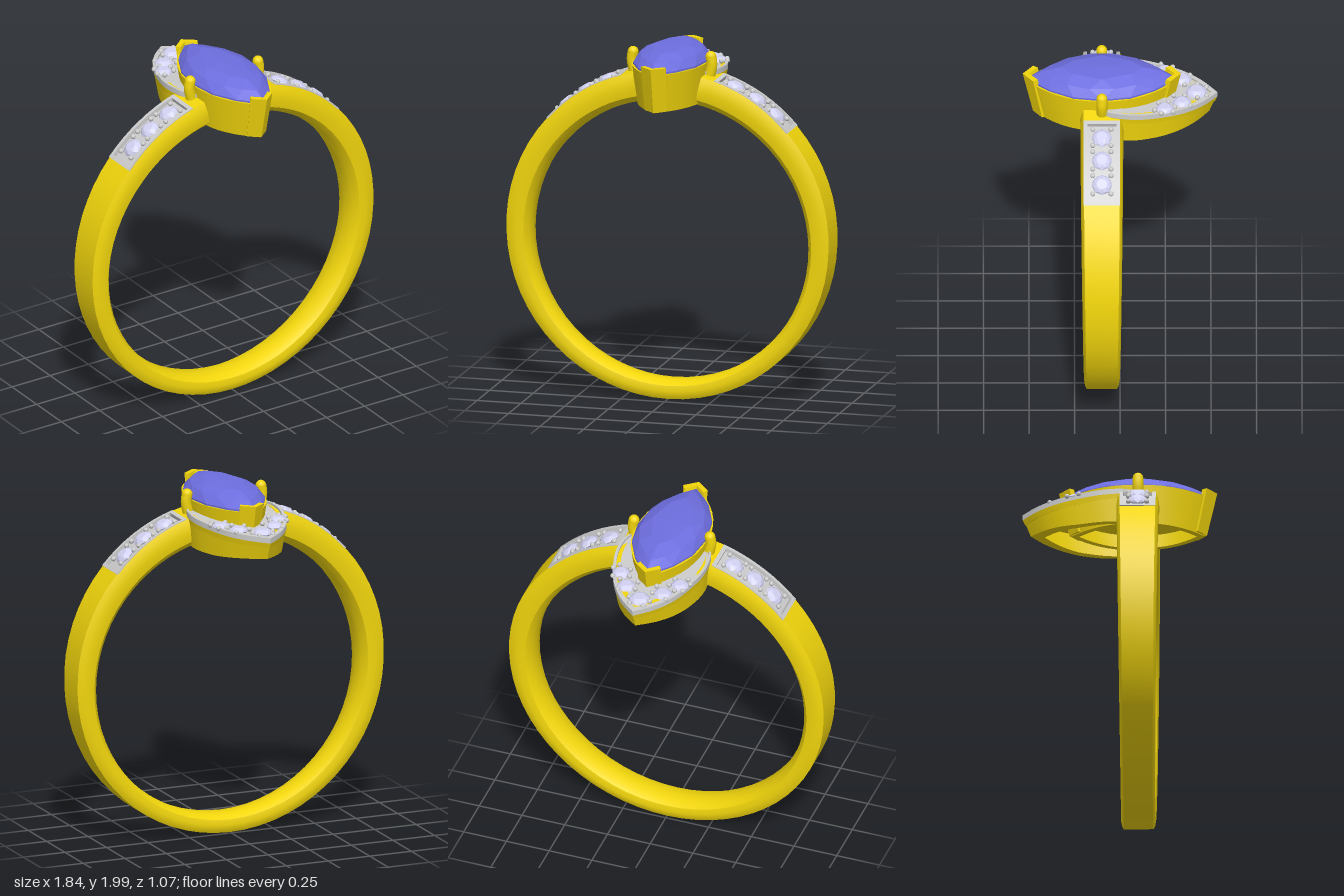
import * as THREE from 'three';
import { toCreasedNormals } from 'three/addons/utils/BufferGeometryUtils.js';
import { ConvexGeometry } from 'three/addons/geometries/ConvexGeometry.js';

const mat = (color) => new THREE.MeshStandardMaterial({ color, side: THREE.DoubleSide });
const gold = mat(0xf2d60c), grey = mat(0xcccccc), blue = mat(0x6e6ee0), clear = mat(0xd2d2f2);
const CZ = 0.1, CY = 0.93;            // centre of band and head
const PAVE = [0.29, 0.83];            // stretch of the shoulder channel (angle from the top)
const lerp = THREE.MathUtils.lerp;
const V2 = (x, y) => new THREE.Vector2(x, y);
const V3 = (x, y, z) => new THREE.Vector3(x, y, z);

function add(parent, name, geo, material) {
  const m = new THREE.Mesh(geo, material);
  m.name = name;
  parent.add(m);
  return m;
}

// Skin over closed cross-sections, with capped ends
function loft(sections, crease = 0.6) {
  const n = sections[0].length, last = (sections.length - 1) * n, index = [];
  for (let i = 0; i < sections.length - 1; i++) {
    for (let j = 0; j < n; j++) {
      const a = i * n + j, b = i * n + (j + 1) % n;
      index.push(a, b, a + n, b, b + n, a + n);
    }
  }
  for (let j = 1; j < n - 1; j++) index.push(0, j + 1, j, last, last + j, last + j + 1);
  const g = new THREE.BufferGeometry().setFromPoints(sections.flat());
  g.setIndex(index);
  return toCreasedNormals(g, crease);
}

// Upright prism from a plan shape (x, -z); narrows by taper towards its bottom
function prism(shape, bottom, top, taper = 1) {
  const g = new THREE.ExtrudeGeometry(shape, { depth: 1, bevelEnabled: false });
  const p = g.attributes.position;
  for (let i = 0; i < p.count; i++) {
    const d = p.getZ(i), k = lerp(taper, 1, d), z = -p.getY(i);
    p.setXYZ(i, p.getX(i) * k, lerp(bottom(z), top(z), d), CZ + (z - CZ) * k);
  }
  return toCreasedNormals(g, 0.5);
}

// Pointed oval: half width a, half length b
const ovalPoint = (phi, a, b) => {
  const s = Math.sin(phi), x = a * (1 - Math.abs(s) ** 2.3);
  return V2(Math.cos(phi) < 0 ? -x : x, -CZ + b * s);
};
const oval = (a, b, n = 40, from = 0, sweep = Math.PI * 2) =>
  Array.from({ length: n }, (_, i) => ovalPoint(from + sweep * i / n, a, b));

// Band: outer radius, and position on the ring at angle t from the top
const outerR = (t) => 0.92 + 0.015 * Math.max(0, Math.cos(t));
const onRing = (t, r, z) => V3(Math.sin(t) * r, CY + Math.cos(t) * r, CZ + z);

function bandSection(t, cut) {
  const ro = outerR(t), ri = 0.79 - 0.03 * Math.cos(t), w = 0.107 + 0.012 * Math.cos(t);
  const profile = [[-1, .55], [-.95, .82], [-.85, 1], [-.83, 1 - cut], [.83, 1 - cut], [.85, 1],
    [.95, .82], [1, .55], [.93, .25], [.6, .05], [0, 0], [-.6, .05], [-.93, .25]];
  return profile.map(([u, f]) => onRing(t, lerp(ri, ro, f), u * w));
}

function bandGeometry() {
  const end = Math.PI * 2, [p0, p1] = PAVE, sections = [];
  const run = (a, b, n, cut) => {
    for (let i = 0; i <= n; i++) sections.push(bandSection(lerp(a, b, i / n), cut));
  };
  run(0.21, p0, 1, 0);
  run(p0, p1, 8, 0.2);
  run(p1, end - p1, 48, 0);
  run(end - p1, end - p0, 8, 0.2);
  run(end - p0, end - 0.21, 1, 0);
  return loft(sections);
}

// Curved bar following the band; radii are measured from its outer face
function arcBar(t0, t1, low, high, z0, z1) {
  const sections = [];
  for (let i = 0; i <= 8; i++) {
    const t = lerp(t0, t1, i / 8), r = outerR(t);
    sections.push([onRing(t, r + low, z0), onRing(t, r + high, z0),
      onRing(t, r + high, z1), onRing(t, r + low, z1)].reverse());
  }
  const g = loft(sections, 0.4);
  return g;
}

// Small round brilliant, girdle at y = 0
function brilliant(r) {
  const pts = [V3(0, -r * 0.7, 0)];
  const ring = (n, k, y, turn) => {
    for (let i = 0; i < n; i++) {
      const a = (i + turn) / n * Math.PI * 2;
      pts.push(V3(Math.cos(a) * r * k, y * r, Math.sin(a) * r * k));
    }
  };
  ring(8, 1, 0, 0);
  ring(8, 0.82, 0.22, 0.5);
  ring(8, 0.52, 0.4, 0);
  return new ConvexGeometry(pts);
}

// Large pointed-oval gem
function mainGem() {
  const pts = [V3(0, 1.8, CZ), V3(0, 2, CZ)];
  const ring = (n, k, y, turn) => {
    for (let i = 0; i < n; i++) {
      const p = ovalPoint((i + turn) / n * Math.PI * 2, 0.2 * k, 0.41 * k);
      pts.push(V3(p.x, y, -p.y));
    }
  };
  ring(16, 1, 1.905, 0);
  ring(16, 1, 1.92, 0);
  ring(16, 0.83, 1.964, 0.5);
  ring(8, 0.55, 1.993, 0);
  ring(8, 0.6, 1.85, 0.5);
  return new ConvexGeometry(pts);
}

function shoulder(side) {
  const g = new THREE.Group(), [t0, t1] = PAVE;
  g.name = side > 0 ? 'leftShoulder' : 'rightShoulder';
  const bar = (name, ...a) => {
    if (side < 0) [a[0], a[1]] = [-a[1], -a[0]];
    add(g, name, arcBar(...a), grey);
  };
  bar('channelFloor', t0, t1, -0.05, -0.02, -0.1, 0.1);
  for (const s of [-1, 1]) bar('channelSide', t0, t1, -0.05, 0.004, s * 0.09 - 0.01, s * 0.09 + 0.01);
  bar('channelEnd', t0, t0 + 0.025, -0.05, 0.004, -0.1, 0.1);
  bar('channelEnd', t1 - 0.025, t1, -0.05, 0.004, -0.1, 0.1);
  for (const a of [0.405, 0.555, 0.705]) {
    const t = a * side, gem = add(g, 'shoulderGem', brilliant(0.057), clear);
    gem.position.copy(onRing(t, outerR(t) - 0.008, 0));
    gem.rotation.z = -t;
    for (const dt of [-0.055, 0.055]) for (const z of [-0.05, 0.05]) {
      add(g, 'bead', new THREE.SphereGeometry(0.014, 10, 8), grey)
        .position.copy(onRing(t + dt, outerR(t), z));
    }
  }
  return g;
}

// Crescent behind the main gem
function halo() {
  const g = new THREE.Group();
  g.name = 'halo';
  const half = new THREE.SplineCurve([V2(0.2, -0.13), V2(0.25, -0.04), V2(0.26, 0.08), V2(0.235, 0.2),
    V2(0.18, 0.34), V2(0.1, 0.45), V2(0, 0.535)]).getPoints(24);
  const edge = [...half, ...half.slice(0, -1).reverse().map((p) => V2(-p.x, p.y))];
  const inset = (k) => edge.map((p) => V2(p.x * k, -0.1 + (p.y + 0.1) * k)).reverse();
  const back = oval(0.19, 0.4, 24, Math.PI, -Math.PI);
  const plate = () => new THREE.Shape([...edge, ...back]);
  const top = (z) => 1.862 + 0.075 * Math.min(z, 0);
  const shift = (f, d) => (z) => f(z) + d;
  add(g, 'haloWall', prism(new THREE.Shape([...edge, ...inset(0.87)]),
    (z) => 1.67 + 0.08 * Math.max(0, -z - 0.25), shift(top, -0.012), 0.93), gold);
  add(g, 'haloUnderside', prism(plate(), shift(top, -0.06), shift(top, -0.03), 0.98), gold);
  add(g, 'haloPlate', prism(plate(), shift(top, -0.03), shift(top, -0.012)), grey);
  add(g, 'haloRim', prism(new THREE.Shape([...edge, ...inset(0.945)]), shift(top, -0.013), top), grey);
  const seats = [[0, -0.42, 0.062], [0.107, -0.34, 0.055], [0.172, -0.245, 0.052]];
  const beads = [[0.06, -0.425], [0.04, -0.475], [0.05, -0.355], [0.055, -0.295], [0.14, -0.385],
    [0.16, -0.3], [0.115, -0.265], [0.205, -0.29], [0.13, -0.21], [0.225, -0.225], [0.2, -0.19]];
  for (const s of [-1, 1]) {
    for (const [x, z, r] of seats) {
      if (x === 0 && s < 0) continue;
      add(g, 'haloGem', brilliant(r), clear).position.set(s * x, top(z) - 0.006, z);
    }
    for (const [x, z] of beads) {
      add(g, 'bead', new THREE.SphereGeometry(0.014, 10, 8), grey).position.set(s * x, top(z), z);
    }
  }
  return g;
}

function head() {
  const g = new THREE.Group();
  g.name = 'head';
  // Hollow basket with a floor hiding the gem's underside
  const wall = new THREE.Shape(oval(0.205, 0.425));
  wall.holes.push(new THREE.Path(oval(0.172, 0.372)));
  add(g, 'basket', prism(wall, () => 1.69, () => 1.91, 0.87), gold);
  add(g, 'basketFloor', prism(new THREE.Shape(oval(0.178, 0.38)), () => 1.77, () => 1.79, 0.98), gold);
  add(g, 'mainGem', mainGem(), blue);
  // V-shaped claws at both tips
  for (const s of [-1, 1]) {
    const v = [[0, 0.435], [0.072, 0.378], [0.056, 0.352], [0, 0.4], [-0.056, 0.352], [-0.072, 0.378]];
    const shape = new THREE.Shape(v.map(([x, z]) => V2(x, -CZ - s * z)));
    add(g, 'tipClaw', prism(shape, () => 1.695, () => 1.95, 0.87), gold);
  }
  // Round claws at the sides
  for (const s of [-1, 1]) {
    const path = new THREE.CatmullRomCurve3([V3(s * 0.19, 1.74, CZ), V3(s * 0.215, 1.83, CZ),
      V3(s * 0.228, 1.9, CZ), V3(s * 0.222, 1.942, CZ)]);
    add(g, 'sideClaw', new THREE.TubeGeometry(path, 10, 0.03, 14), gold);
    add(g, 'sideClawTip', new THREE.SphereGeometry(0.03, 14, 10), gold).position.set(s * 0.222, 1.942, CZ);
  }
  return g;
}

export function createModel() {
  const model = new THREE.Group();
  model.name = 'ring';
  add(model, 'band', bandGeometry(), gold);
  model.add(shoulder(1), shoulder(-1), halo(), head());
  return model;
}
